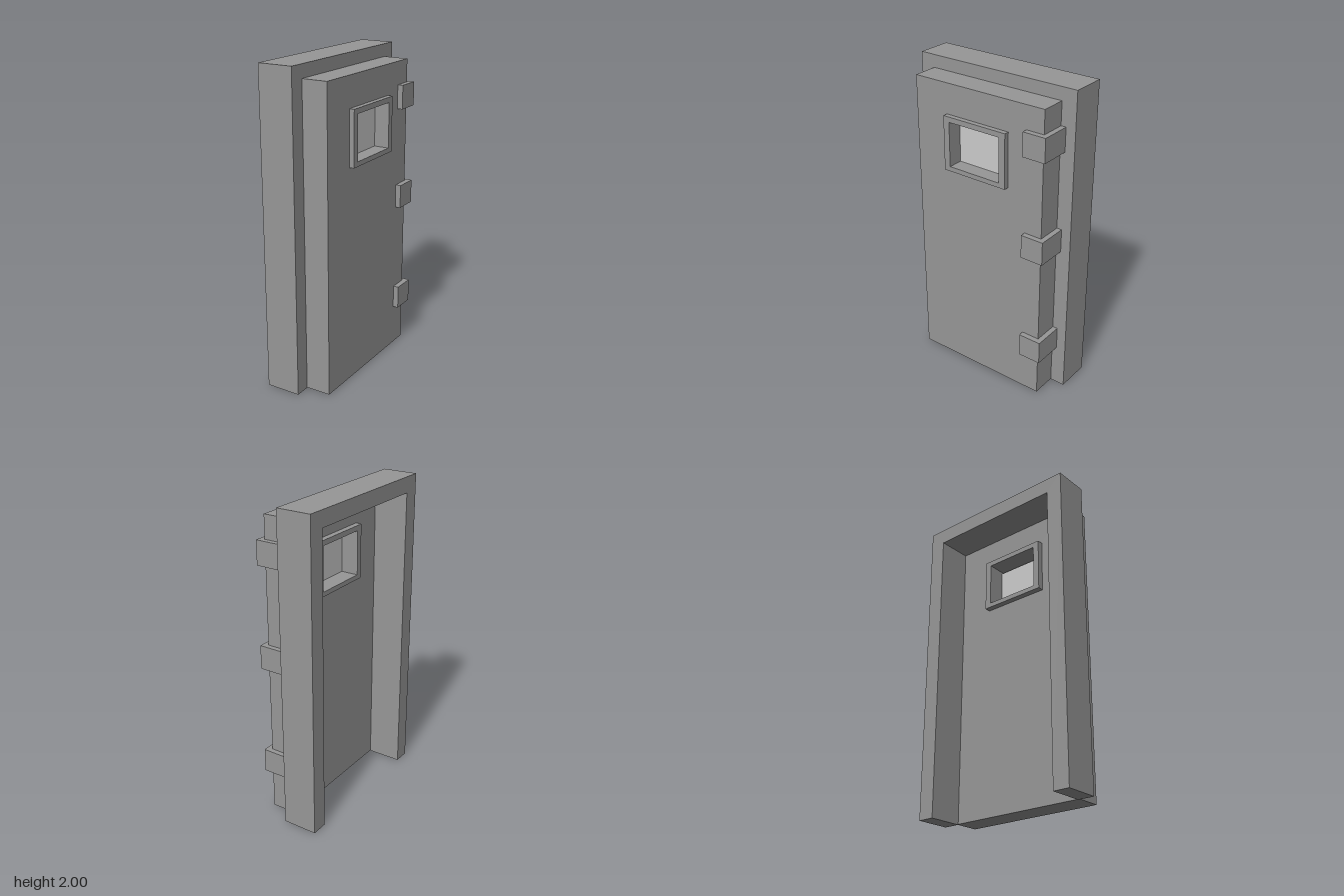
import * as THREE from 'three';

const paint = new THREE.MeshStandardMaterial({ color: 0x979797, flatShading: true });
const glass = new THREE.MeshStandardMaterial({ color: 0xcccccc, flatShading: true });

// Axis-aligned box given by its two extreme corners
function box(name, [x0, y0, z0], [x1, y1, z1], material) {
  const mesh = new THREE.Mesh(new THREE.BoxGeometry(x1 - x0, y1 - y0, z1 - z0), material);
  mesh.position.set((x0 + x1) / 2, (y0 + y1) / 2, (z0 + z1) / 2);
  mesh.name = name;
  return mesh;
}

// Rectangle outline in the z-y plane (shape x runs along -z)
function rect(PathType, { z0, z1, y0, y1 }) {
  return new PathType([[-z1, y0], [-z0, y0], [-z0, y1], [-z1, y1]].map(([x, y]) => new THREE.Vector2(x, y)));
}

// Extrudes a z-y shape along x from x0 to x1
function slab(name, shape, x0, x1) {
  const geometry = new THREE.ExtrudeGeometry(shape, { depth: x1 - x0, bevelEnabled: false });
  geometry.rotateY(Math.PI / 2).translate(x0, 0, 0);
  const mesh = new THREE.Mesh(geometry, paint);
  mesh.name = name;
  return mesh;
}

export function createModel() {
  const group = new THREE.Group();
  group.name = 'door';

  // Door frame: two jambs and a lintel, open at the floor
  const frame = new THREE.Shape([
    [-0.553, 0], [-0.447, 0], [-0.447, 1.9], [0.447, 1.9],
    [0.447, 0], [0.553, 0], [0.553, 2], [-0.553, 2],
  ].map(([x, y]) => new THREE.Vector2(x, y)));
  group.add(slab('doorFrame', frame, -0.21, 0.013));

  // Door leaf with a window cut-out
  const leaf = rect(THREE.Shape, { z0: -0.457, z1: 0.457, y0: 0.003, y1: 1.92 });
  leaf.holes.push(rect(THREE.Path, { z0: -0.19, z1: 0.203, y0: 1.4, y1: 1.715 }));
  group.add(slab('doorLeaf', leaf, 0.013, 0.175));

  // Window surround passing through the leaf, proud on both sides
  const surround = rect(THREE.Shape, { z0: -0.217, z1: 0.228, y0: 1.385, y1: 1.73 });
  surround.holes.push(rect(THREE.Path, { z0: -0.175, z1: 0.187, y0: 1.415, y1: 1.697 }));
  group.add(slab('windowSurround', surround, -0.025, 0.207));

  // Pale pane, slightly short of the top of the opening
  group.add(box('windowPane', [0.09, 1.415, -0.175], [0.11, 1.687, 0.187], glass));

  // Hinges wrapping the edge of the leaf
  for (const y of [0.345, 1.055, 1.7]) {
    group.add(box('hinge', [0.013, y - 0.075, -0.49], [0.21, y + 0.075, -0.34], paint));
  }
  return group;
}
